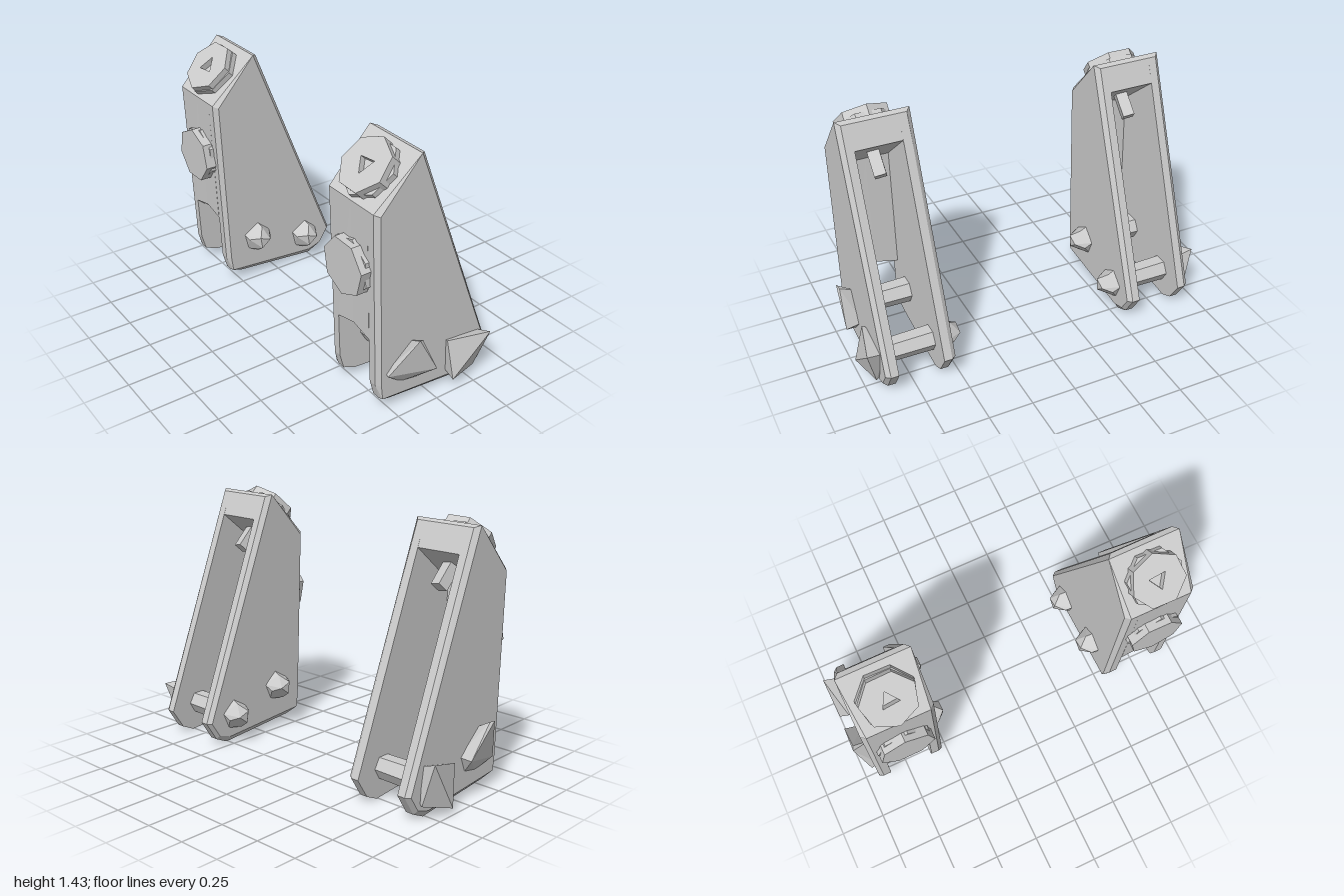
import * as THREE from 'three';
import { ConvexGeometry } from 'three/addons/geometries/ConvexGeometry.js';

const mat = new THREE.MeshStandardMaterial({ color: 0xcccccc, flatShading: true });
const CENTRE = 0.7275, HALF = 0.1975, INNER = 0.1275;

function add(parent, name, geo) {
  const m = new THREE.Mesh(geo, mat);
  m.name = name;
  parent.add(m);
  return m;
}

// Convex solid from [x, y, z] points
const hull = pts => new ConvexGeometry(pts.map(p => new THREE.Vector3(...p)));

// Corner points of a regular polygon
function ring(n, r, turn) {
  return Array.from({ length: n }, (_, i) => {
    const a = turn + i * 2 * Math.PI / n;
    return new THREE.Vector2(r * Math.cos(a), r * Math.sin(a));
  });
}

function prism(n, r, depth, turn, holeTurn) {
  const shape = new THREE.Shape(ring(n, r, turn));
  if (holeTurn !== undefined) shape.holes.push(new THREE.Path(ring(3, 0.055, holeTurn)));
  return new THREE.ExtrudeGeometry(shape, { depth, bevelEnabled: false });
}

// Side profile as [y, z]: full outline, and the smaller outline of the outer face
const OUTLINE = [[1.41, 0.11], [1.4, 0.08], [0.28, -0.35], [0.15, -0.405], [0.04, -0.335],
  [0.005, -0.26], [0.05, 0.23], [0.08, 0.3], [0.17, 0.325], [1.16, 0.365]];
const FACE = [[1.41, 0.11], [0.27, -0.33], [0.15, -0.385], [0.065, -0.33], [0.04, -0.25],
  [0.085, 0.295], [0.17, 0.305], [1.15, 0.34]];

// Side wall with chamfered outer edges; d is the direction it faces
function wall(d) {
  const at = (list, x) => list.map(([y, z]) => [d * x, y, z]);
  return hull([...at(OUTLINE, INNER), ...at(OUTLINE, HALF - 0.025), ...at(FACE, HALF)]);
}

// Front plate and sloping cap between the walls, with a shallow peaked arch below
function spine() {
  const shape = new THREE.Shape([[0.11, 1.41], [0.08, 1.4], [0.03, 1.27], [0.29, 1.06],
    [0.265, 0.37], [0.337, 0.43], [0.365, 1.16]].map(([z, y]) => new THREE.Vector2(-z, y)));
  const geo = new THREE.ExtrudeGeometry(shape, { depth: 2 * INNER, steps: 2, bevelEnabled: false });
  geo.translate(0, 0, -INNER).rotateY(Math.PI / 2);
  const p = geo.attributes.position;
  for (let i = 0; i < p.count; i++) {
    if (Math.abs(p.getX(i)) < 0.01 && p.getY(i) < 0.5) p.setY(i, p.getY(i) + 0.03);
  }
  geo.computeVertexNormals();
  return geo;
}

// Cross pin: six-sided shaft with a small faceted inner knob
function pin(leg, name, s, y, z) {
  const shaft = new THREE.CylinderGeometry(0.072, 0.065, 0.36, 6);
  add(leg, name + 'Shaft', shaft.rotateZ(Math.PI / 2).translate(0, y, z));
  const pts = [];
  ring(5, 0.09, 0.4).forEach(p => pts.push([-s * 0.19, y + p.y, z + p.x]));
  ring(4, 0.075, 0.2).forEach(p => pts.push([-s * 0.235, y + p.y, z + p.x]));
  ring(3, 0.04, 0.9).forEach(p => pts.push([-s * 0.285, y + p.y, z + p.x]));
  add(leg, name + 'InnerKnob', hull(pts));
}

// Outer pin head: irregular faceted lump, turned about its centre
function head(leg, name, s, cy, cz, turn, pts) {
  const c = Math.cos(turn), n = Math.sin(turn);
  add(leg, name, hull(pts.map(([x, y, z]) => {
    const a = y - cy, b = z - cz;
    return [s * (x - CENTRE), cy + a * c - b * n, cz + a * n + b * c];
  })));
}

function createLeg(s) {
  const leg = new THREE.Group();
  leg.position.x = s * CENTRE;
  add(leg, 'leftWall', wall(1));
  add(leg, 'rightWall', wall(-1));
  add(leg, 'frontPlateAndCap', spine());

  // Bolt on the sloping cap, with a three-sided socket
  const cap = new THREE.Group();
  cap.name = 'capBolt';
  cap.position.set(0, 1.275, 0.235);
  cap.rotation.x = -Math.PI / 4;
  add(cap, 'capBoltBase', prism(7, 0.158, 0.04, 0.2));
  add(cap, 'capBoltHead', prism(7, 0.152, 0.075, 0.65 * s, -s * Math.PI / 2 + 0.1));
  add(cap, 'capBoltShank', prism(4, 0.045, 0.27, 0.5)).position.z = -0.27;
  leg.add(cap);

  // Flat bolt on the front plate
  const front = new THREE.Group();
  front.name = 'frontBolt';
  front.position.set(0, 0.81, 0.33);
  add(front, 'frontBoltBase', prism(7, 0.155, 0.045, 0.5));
  add(front, 'frontBoltHead', prism(7, 0.155, 0.08, 0.2 * s));
  leg.add(front);

  // Two cross pins through the lower walls
  pin(leg, 'frontPin', s, 0.265, 0.125);
  pin(leg, 'backPin', s, 0.17, -0.21);
  head(leg, 'frontPinHead', s, 0.265, 0.13, s > 0 ? 0 : 0.35, [
    [1, 0.42, 0.13], [0.99, 0.41, 0.105], [1, 0.2, 0.01], [0.945, 0.23, 0.28],
    [0.92, 0.13, 0.09], [0.92, 0.145, 0.18], [0.9, 0.23, 0.27], [0.9, 0.36, 0.12], [0.9, 0.2, 0.03]]);
  head(leg, 'backPinHead', s, 0.18, -0.22, s > 0 ? 0 : 0.35, [
    [1, 0.28, -0.345], [1, 0.075, -0.105], [0.945, 0.29, -0.1], [0.945, 0.06, -0.29],
    [0.9, 0.27, -0.12], [0.9, 0.25, -0.32], [0.9, 0.08, -0.27], [0.9, 0.09, -0.12]]);
  return leg;
}

export function createModel() {
  const model = new THREE.Group();
  model.name = 'bracketPair';
  for (const s of [1, -1]) {
    const leg = createLeg(s);
    leg.name = s > 0 ? 'leftBracket' : 'rightBracket';
    model.add(leg);
  }
  return model;
}
